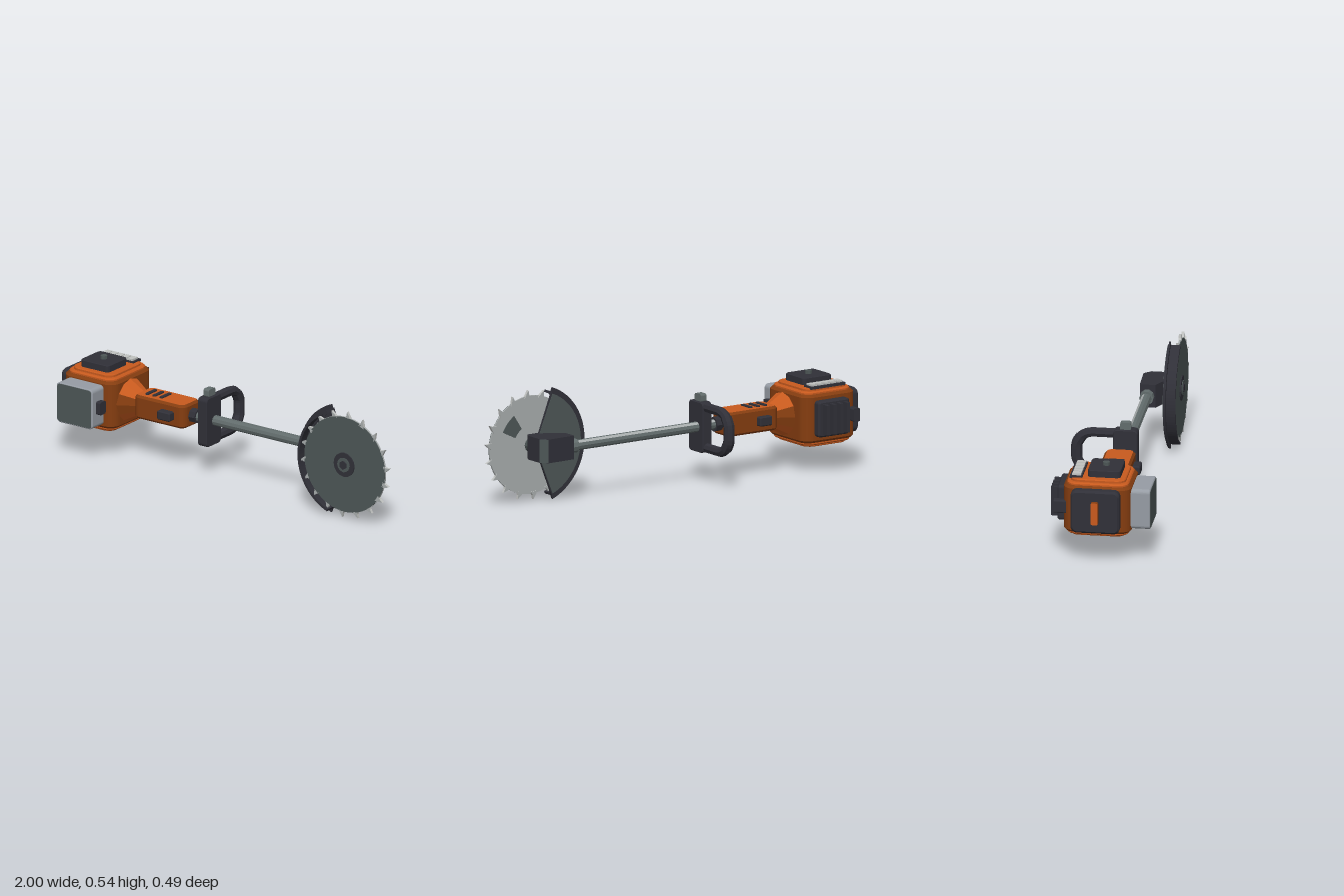
import * as THREE from 'three';

const paint = (name, color) => {
  const m = new THREE.MeshStandardMaterial({ color });
  m.name = name;
  return m;
};

export function createModel() {
  const root = new THREE.Group();
  root.name = 'brushCutter';
  const orange = paint('orange housing', 0xc85a1e);
  const rust = paint('dark orange sides', 0x853d10);
  const black = paint('black plastic', 0x303038);
  const grey = paint('grey metal', 0x626c6c);
  const dark = paint('dark grey panels', 0x4d5656);
  const light = paint('light grey casing', 0x969ca4);
  const steel = paint('blade steel', 0xa8adad);
  const silver = paint('silver', 0xc0c2c0);
  const Y = 0.272, Z = 0.013; // shaft axis
  const BX = 0.733, BZ = 0.15; // blade centre

  // Adds a faceted mesh
  const add = (name, geo, mat, x = 0, y = 0, z = 0) => {
    const g = geo.index ? geo.toNonIndexed() : geo;
    g.computeVertexNormals();
    const m = new THREE.Mesh(g, mat);
    m.name = name;
    m.position.set(x, y, z);
    root.add(m);
    return m;
  };
  // Box from its limits
  const box = (name, mat, x0, x1, y0, y1, z0, z1) =>
    add(name, new THREE.BoxGeometry(x1 - x0, y1 - y0, z1 - z0), mat, (x0 + x1) / 2, (y0 + y1) / 2, (z0 + z1) / 2);
  // Rounded rectangle outline
  const rounded = (w, h, r) => {
    const s = new THREE.Shape(), a = w / 2 - r, b = h / 2 - r;
    s.absarc(a, b, r, 0, Math.PI / 2);
    s.absarc(-a, b, r, Math.PI / 2, Math.PI);
    s.absarc(-a, -b, r, Math.PI, Math.PI * 1.5);
    s.absarc(a, -b, r, Math.PI * 1.5, Math.PI * 2);
    return s;
  };
  // Extrusion centred on its depth, with an optional chamfer inside the outline
  const prism = (shape, depth, bevel = 0, curveSegments = 4) => {
    const g = new THREE.ExtrudeGeometry(shape, {
      depth: depth - 2 * bevel, curveSegments, bevelEnabled: bevel > 0,
      bevelSize: bevel, bevelOffset: -bevel, bevelThickness: bevel, bevelSegments: 1,
    });
    return g.translate(0, 0, bevel - depth / 2);
  };
  // Rounded slab from limits, extruded along the chosen axis; materials may be [caps, sides]
  const slab = (name, mat, axis, x0, x1, y0, y1, z0, z1, r, bevel = 0) => {
    const w = x1 - x0, h = y1 - y0, d = z1 - z0;
    let g;
    if (axis === 'y') g = prism(rounded(w, d, r), h, bevel).rotateX(-Math.PI / 2);
    else if (axis === 'x') g = prism(rounded(d, h, r), w, bevel).rotateY(Math.PI / 2);
    else g = prism(rounded(w, h, r), d, bevel);
    return add(name, g, mat, (x0 + x1) / 2, (y0 + y1) / 2, (z0 + z1) / 2);
  };
  // Cylinder lying along x
  const rodGeometry = (x0, x1, r0, r1, sides) =>
    new THREE.CylinderGeometry(r1, r0, x1 - x0, sides).rotateZ(-Math.PI / 2);
  const rod = (name, mat, x0, x1, r0, r1, sides) =>
    add(name, rodGeometry(x0, x1, r0, r1, sides), mat, (x0 + x1) / 2, Y, Z);
  // Rod whose facets take the second material where pick(ny, nz) holds
  const facetRod = (name, mats, x0, x1, r0, r1, sides, pick) => {
    const g = rodGeometry(x0, x1, r0, r1, sides).toNonIndexed();
    const n = g.computeVertexNormals() || g.attributes.normal;
    g.clearGroups();
    for (let i = 0; i < n.count; i += 3) g.addGroup(i, 3, pick(n.getY(i), n.getZ(i)) ? 1 : 0);
    add(name, g, mats, (x0 + x1) / 2, Y, Z);
  };
  // Disc facing z
  const disc = (name, mat, r, z0, z1, sides) =>
    add(name, new THREE.CylinderGeometry(r, r, z1 - z0, sides).rotateX(Math.PI / 2), mat, BX, Y, (z0 + z1) / 2);
  // Ring sector outline around the blade centre
  const sector = (r0, r1, a0, a1) => {
    const s = new THREE.Shape();
    s.absarc(0, 0, r1, a0, a1, false);
    s.absarc(0, 0, r0, a1, a0, true);
    s.closePath();
    return s;
  };

  // Motor housing: dark main block with bright stepped decks
  slab('motorHousing', rust, 'y', -0.94, -0.635, 0.153, 0.387, -0.172, 0.152, 0.055, 0.012);
  slab('motorStep', orange, 'y', -0.925, -0.65, 0.14, 0.4, -0.158, 0.138, 0.05, 0.006);
  slab('motorDeck', orange, 'y', -0.908, -0.668, 0.13, 0.413, -0.143, 0.122, 0.045, 0.004);
  slab('topCap', black, 'y', -0.872, -0.705, 0.41, 0.447, -0.062, 0.095, 0.02, 0.003);
  add('topKnob', new THREE.CylinderGeometry(0.017, 0.017, 0.02, 8), dark, -0.788, 0.453, 0.017);
  slab('bottomCap', dark, 'y', -0.855, -0.73, 0.114, 0.132, -0.032, 0.066, 0.02);
  add('bottomKnob', new THREE.CylinderGeometry(0.014, 0.014, 0.012, 8), black, -0.755, 0.11, 0.022);

  // Indicator strip
  box('indicatorStrip', black, -0.888, -0.69, 0.408, 0.421, -0.145, -0.085);
  for (let i = 0; i < 5; i++) {
    const x = -0.879 + i * 0.037;
    box('indicatorCell', silver, x, x + 0.031, 0.418, 0.43, -0.134, -0.092);
  }

  // Rear vent with upright fins
  slab('ventBase', black, 'z', -0.87, -0.69, 0.185, 0.36, -0.208, -0.165, 0.015, 0.008);
  for (let i = 0; i < 4; i++) {
    const x = -0.839 + i * 0.039;
    box('ventFin', black, x - 0.009, x + 0.009, 0.2, 0.345, -0.241, -0.2);
  }
  slab('rearLatch', black, 'z', -0.922, -0.885, 0.24, 0.305, -0.218, -0.14, 0.008);

  // End cover with a pull handle
  slab('endCover', black, 'x', -0.978, -0.93, 0.165, 0.38, -0.13, 0.105, 0.03, 0.01);
  slab('pullHandle', [orange, rust], 'x', -1, -0.97, 0.218, 0.328, -0.03, 0.005, 0.008);

  // Battery on the front
  slab('battery', light, 'z', -0.902, -0.69, 0.17, 0.37, 0.14, 0.241, 0.02, 0.004);
  slab('batteryFace', dark, 'z', -0.896, -0.697, 0.176, 0.364, 0.238, 0.243, 0.016);
  slab('batteryLatch', black, 'x', -0.695, -0.665, 0.24, 0.304, 0.168, 0.213, 0.008);

  // Neck and rear grip, bright above and below
  facetRod('neck', [rust, orange], -0.645, -0.555, 0.11, 0.058, 12, (ny) => Math.abs(ny) > 0.5);
  slab('grip', [orange, rust], 'y', -0.567, -0.268, 0.215, 0.332, -0.06, 0.086, 0.035, 0.011);
  for (const y of [0.214, 0.333]) {
    for (let i = 0; i < 3; i++) {
      const x = -0.512 + i * 0.042;
      slab('gripSlot', black, 'y', x - 0.009, x + 0.009, y - 0.005, y + 0.005, -0.026, 0.052, 0.007);
    }
  }
  slab('trigger', black, 'z', -0.4, -0.325, 0.252, 0.296, 0.08, 0.122, 0.008, 0.005);
  slab('lockButton', black, 'z', -0.507, -0.435, 0.25, 0.296, -0.088, -0.055, 0.008, 0.005);
  rod('gripCollar', black, -0.272, -0.232, 0.036, 0.036, 8);

  // Shaft with a pale upper rear facet
  facetRod('shaft', [grey, steel], -0.25, 0.62, 0.025, 0.025, 10, (ny, nz) => ny > 0.5 && nz < -0.5);
  rod('shaftCollar', grey, 0.567, 0.605, 0.034, 0.034, 10);

  // Front handle: clamp, knob, D-shaped loop and thicker sleeve
  slab('handleClamp', black, 'x', -0.19, -0.136, 0.15, 0.395, -0.038, 0.08, 0.02, 0.004);
  slab('clampKnob', grey, 'x', -0.18, -0.148, 0.39, 0.43, -0.006, 0.046, 0.01);
  const p = (y, z) => new THREE.Vector3(-0.163, y, z);
  const top = 0.37, low = 0.174;
  const bend = new THREE.CurvePath();
  bend.add(new THREE.CubicBezierCurve3(p(top, -0.13), p(top, -0.18), p(0.34, -0.215), p(0.29, -0.215)));
  bend.add(new THREE.LineCurve3(p(0.29, -0.215), p(0.254, -0.215)));
  bend.add(new THREE.CubicBezierCurve3(p(0.254, -0.215), p(0.204, -0.215), p(low, -0.18), p(low, -0.13)));
  const loop = new THREE.CurvePath();
  loop.add(new THREE.LineCurve3(p(top, -0.02), p(top, -0.13)));
  bend.curves.forEach((c) => loop.add(c));
  loop.add(new THREE.LineCurve3(p(low, -0.13), p(low, -0.02)));
  add('handleLoop', new THREE.TubeGeometry(loop, 36, 0.024, 8), black);
  const sleeve = new THREE.CatmullRomCurve3([0.22, 0.36, 0.5, 0.64, 0.78].map((t) => bend.getPointAt(t)));
  add('handleSleeve', new THREE.TubeGeometry(sleeve, 12, 0.027, 8), black);

  // Gearbox with a grey chamfer panel
  const gear = new THREE.Shape([
    [0.6, -0.022], [0.75, -0.026], [0.78, 0.008], [0.78, 0.1], [0.765, 0.126],
    [0.705, 0.126], [0.67, 0.09], [0.6, 0.052],
  ].map(([x, z]) => new THREE.Vector2(x, -z)));
  add('gearbox', prism(gear, 0.115).rotateX(-Math.PI / 2), black, 0, Y, 0);
  add('gearboxPanel', new THREE.BoxGeometry(0.044, 0.113, 0.004), dark, 0.765, Y, -0.009).rotation.y = 2.293;

  // Blade guard: sector plate, curved rim and flange
  const a0 = THREE.MathUtils.degToRad(111), a1 = THREE.MathUtils.degToRad(249);
  add('guardPlate', prism(sector(0.03, 0.27, a0, a1), 0.01, 0, 20), black, BX, Y, 0.113);
  add('guardBack', prism(sector(0.03, 0.262, a0 + 0.02, a1 - 0.02), 0.004, 0, 20), dark, BX, Y, 0.107);
  add('guardRim', prism(sector(0.258, 0.27, a0, a1), 0.06, 0, 20), black, BX, Y, 0.137);
  add('guardFlange', prism(sector(0.25, 0.29, a0, a1), 0.008, 0, 20), black, BX, Y, 0.118);

  // Blade: steel disc, dark front face and hooked teeth
  disc('bladeDisc', steel, 0.238, 0.146, 0.154, 54);
  disc('bladeFace', dark, 0.237, 0.153, 0.157, 54);
  const tooth = new THREE.Shape();
  tooth.moveTo(0.228, -0.018);
  tooth.lineTo(0.244, -0.008);
  tooth.lineTo(0.266, 0.008);
  tooth.lineTo(0.246, 0.01);
  tooth.lineTo(0.228, 0.018);
  for (let i = 0; i < 18; i++) {
    add('bladeTooth', prism(tooth, 0.014), [steel, silver], BX, Y, BZ).rotation.z = 0.09 + (i * Math.PI) / 9;
  }
  // Dark panels on the back
  for (const a of [0.45, 0.45 + Math.PI]) {
    add('bladePanel', prism(sector(0.1, 0.18, a, a + 0.55), 0.004), dark, BX, Y, 0.145);
  }

  // Hub
  disc('hubSpindle', dark, 0.035, 0.12, 0.15, 12);
  disc('hubFlange', black, 0.06, 0.15, 0.163, 16);
  disc('hubWasher', dark, 0.036, 0.16, 0.167, 12);
  disc('hubNut', black, 0.022, 0.163, 0.172, 6);

  return root;
}
